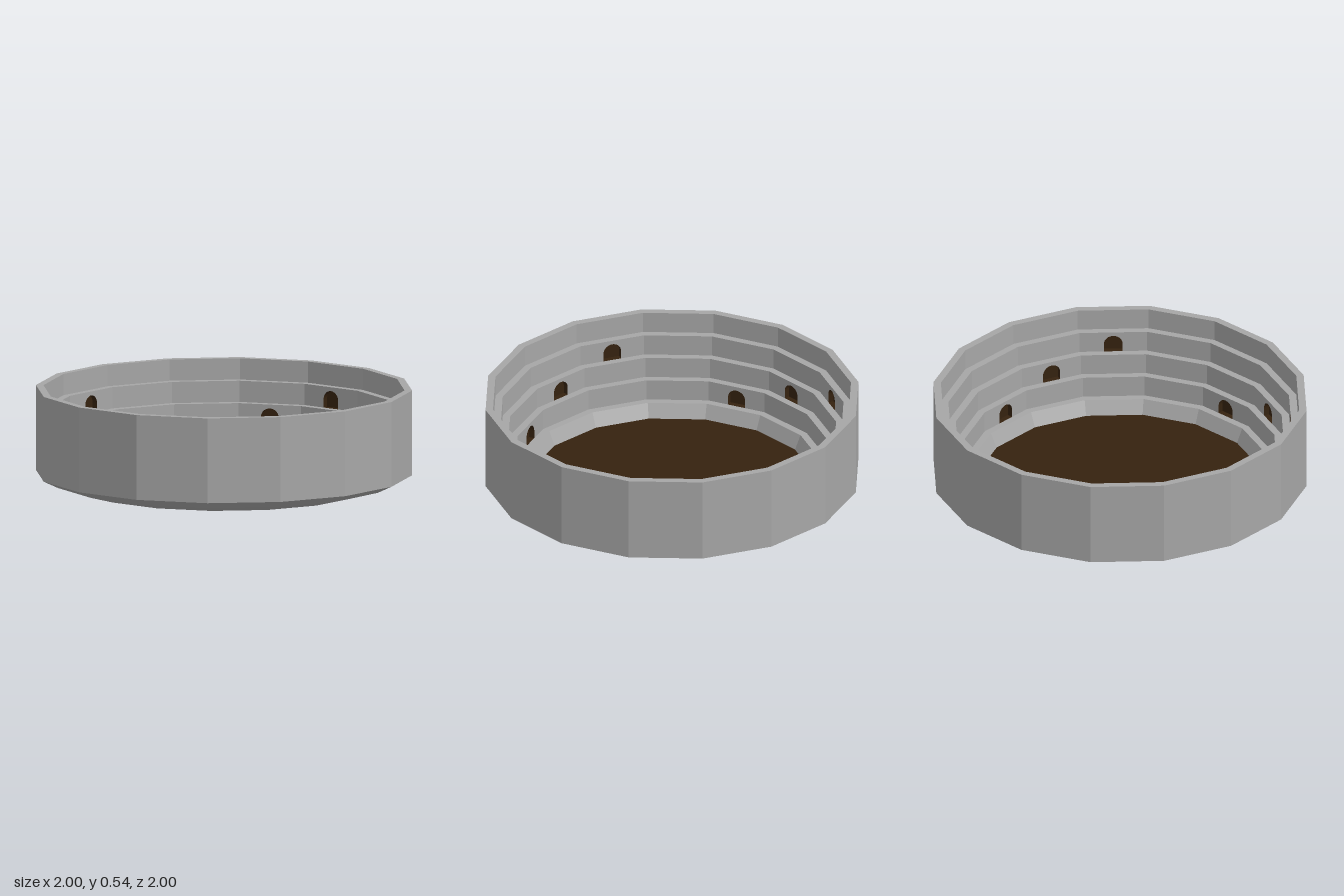
import * as THREE from 'three';

const SIDES = 16;
const STEP = (Math.PI * 2) / SIDES;
const TOP = 0.535, LOW = 0.08, TIERS = 4;
const DROP = (TOP - LOW) / TIERS;
const FLOOR_R = 0.765;

const stone = new THREE.MeshStandardMaterial({ color: 0xa6a6a6, flatShading: true });
stone.name = 'stone grey';
const earth = new THREE.MeshStandardMaterial({ color: 0x35220f, flatShading: true });
earth.name = 'earth brown';

function mesh(name, geometry, material) {
  const m = new THREE.Mesh(geometry, material);
  m.name = name;
  return m;
}

// Sixteen-sided surface swept from [radius, height] points
function ring(name, points) {
  const profile = points.map(([r, y]) => new THREE.Vector2(r, y));
  const g = new THREE.LatheGeometry(profile, SIDES).toNonIndexed();
  g.computeVertexNormals();
  return mesh(name, g, stone);
}

// Round-topped doorway outline standing on y = 0
function arch(target) {
  const r = 0.05, straight = 0.043;
  target.moveTo(-r, 0);
  target.lineTo(r, 0);
  target.lineTo(r, straight);
  target.absarc(0, straight, r, 0, Math.PI, false);
  target.lineTo(-r, 0);
  return target;
}

// One flat wall panel of a tier, with or without a doorway
function wallPanel(radius, hasDoor) {
  const panel = new THREE.Group();
  panel.name = 'wallPanel';
  const w = radius * Math.sin(STEP / 2);
  const shape = new THREE.Shape();
  shape.moveTo(-w, 0);
  shape.lineTo(w, 0);
  shape.lineTo(w, DROP);
  shape.lineTo(-w, DROP);
  shape.closePath();
  if (hasDoor) {
    shape.holes.push(arch(new THREE.Path()));
    // Mirroring the extrusion turns its faces inward, making a recess
    const recess = new THREE.ExtrudeGeometry(arch(new THREE.Shape()),
      { depth: 0.03, bevelEnabled: false, curveSegments: 8 });
    recess.scale(1, 1, -1);
    recess.computeVertexNormals();
    panel.add(mesh('doorway', recess, earth));
  }
  panel.add(mesh('tierWall', new THREE.ShapeGeometry(shape, 8), stone));
  panel.rotation.y = Math.PI;
  panel.position.z = radius * Math.cos(STEP / 2);
  return panel;
}

export function createModel() {
  const model = new THREE.Group();
  model.name = 'arena';

  // Outer wall with bevelled underside and top rim
  model.add(ring('outerWall', [[FLOOR_R, 0], [0.92, 0.042], [1, LOW], [1, TOP], [0.96, TOP]]));

  // Stepped seating; doorways descend one tier per panel and repeat every quarter
  for (let t = 0; t < TIERS; t++) {
    const radius = 0.96 - 0.04 * t;
    const y = TOP - DROP * (t + 1);
    const tier = new THREE.Group();
    tier.name = 'seatingTier';
    tier.add(ring('ledge', [[radius, y], [radius - 0.04, y]]));
    for (let i = 0; i < SIDES; i++) {
      const side = new THREE.Group();
      side.name = 'tierSide';
      side.rotation.y = (i + 0.5) * STEP;
      side.position.y = y;
      side.add(wallPanel(radius, t > 0 && i % 4 === t - 1));
      tier.add(side);
    }
    model.add(tier);
  }

  // Sloped skirt and arena floor
  model.add(ring('floorSkirt', [[0.8, LOW], [FLOOR_R, 0]]));
  const floor = mesh('floor', new THREE.CylinderGeometry(FLOOR_R, FLOOR_R, 0.004, SIDES), earth);
  floor.position.y = 0.002;
  model.add(floor);

  return model;
}
